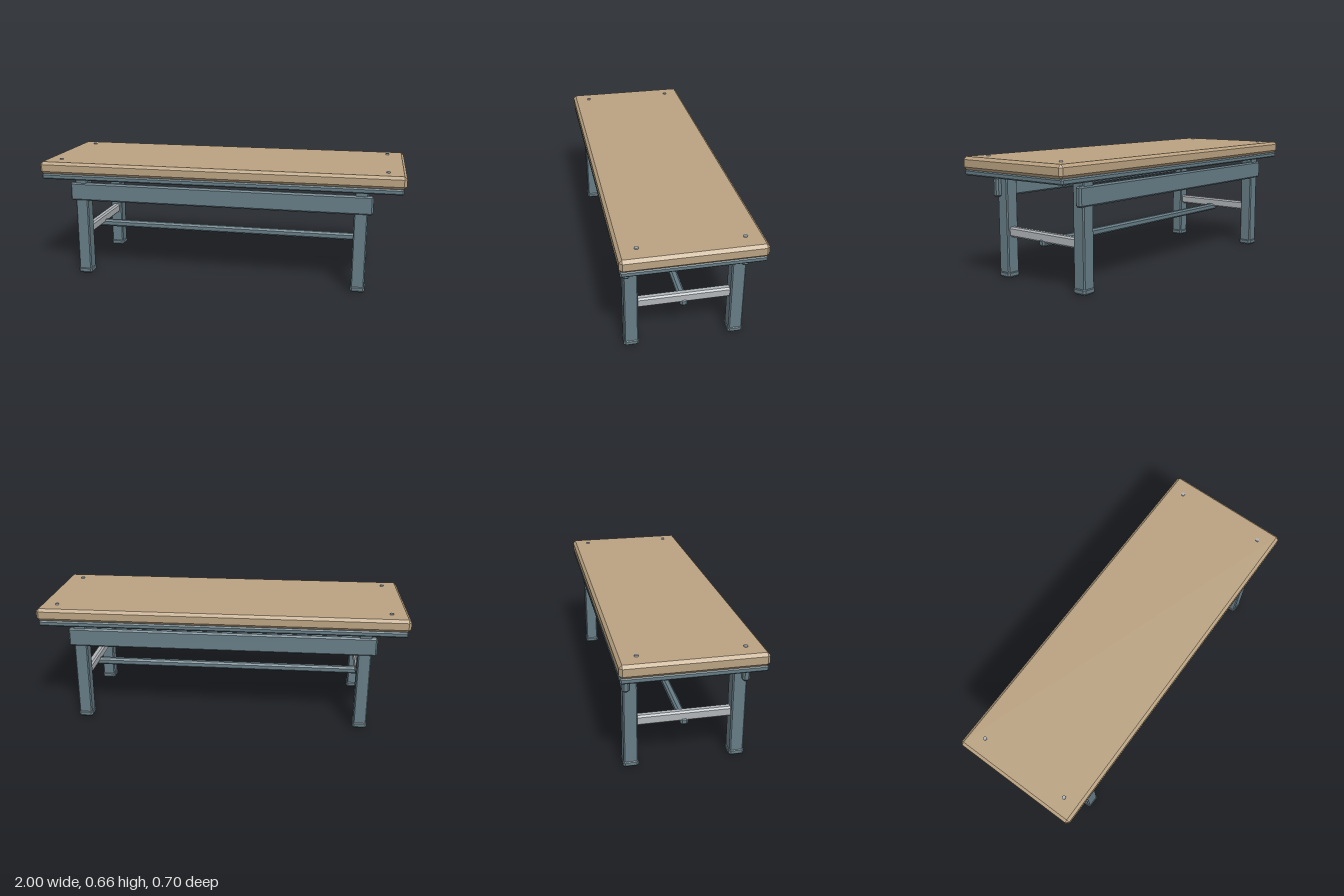
import * as THREE from 'three';
import { ConvexGeometry } from 'three/addons/geometries/ConvexGeometry.js';

const mat = (name, color) => {
  const m = new THREE.MeshStandardMaterial({ color });
  m.name = name;
  return m;
};

// Box with every edge cut by a flat chamfer c
function chamferBox(w, h, d, c) {
  const x = w / 2, y = h / 2, z = d / 2, points = [];
  for (const sx of [-1, 1]) for (const sy of [-1, 1]) for (const sz of [-1, 1]) {
    points.push(
      new THREE.Vector3(sx * x, sy * (y - c), sz * (z - c)),
      new THREE.Vector3(sx * (x - c), sy * y, sz * (z - c)),
      new THREE.Vector3(sx * (x - c), sy * (y - c), sz * z));
  }
  return new ConvexGeometry(points);
}

export function createModel() {
  const group = new THREE.Group();
  group.name = 'bench';
  const wood = mat('wood', 0xbaa281);
  const paint = mat('slatePaint', 0x667c85);
  const metal = mat('paleMetal', 0xb0b5b9);

  const add = (name, geometry, material, x, y, z) => {
    const mesh = new THREE.Mesh(geometry, material);
    mesh.name = name;
    mesh.position.set(x, y, z);
    group.add(mesh);
  };
  // Chamfered bar spanning y0 to y1
  const bar = (name, material, w, y0, y1, d, c, x = 0, z = 0) =>
    add(name, chamferBox(w, y1 - y0, d, c), material, x, (y0 + y1) / 2, z);

  // Top board and the frame beneath it
  bar('topBoard', wood, 2, 0.587, 0.655, 0.704, 0.015);
  bar('subFrame', paint, 1.976, 0.558, 0.588, 0.697, 0.007);

  // Long low stretcher
  bar('longStretcher', paint, 1.6, 0.201, 0.241, 0.04, 0.01);

  for (const sz of [1, -1]) {
    const side = sz > 0 ? 'front' : 'back';
    bar(side + 'Apron', paint, 1.676, 0.434, 0.537, 0.036, 0.009, 0, sz * 0.297);

    for (const sx of [1, -1]) {
      const corner = side + (sx > 0 ? 'Left' : 'Right');
      bar(corner + 'Leg', paint, 0.072, 0.01, 0.57, 0.072, 0.006, sx * 0.775, sz * 0.273);
      bar(corner + 'Foot', paint, 0.08, 0.001, 0.038, 0.08, 0.01, sx * 0.775, sz * 0.273);
      add(corner + 'Bolt', new THREE.CylinderGeometry(0.01, 0.01, 0.014, 12), metal,
        sx * 0.905, 0.655, sz * 0.258);
    }
  }

  // Metal cross rails between each pair of legs
  for (const sx of [1, -1]) {
    bar(sx > 0 ? 'leftCrossRail' : 'rightCrossRail', metal, 0.04, 0.222, 0.276, 0.5, 0.009, sx * 0.775);
  }
  return group;
}
